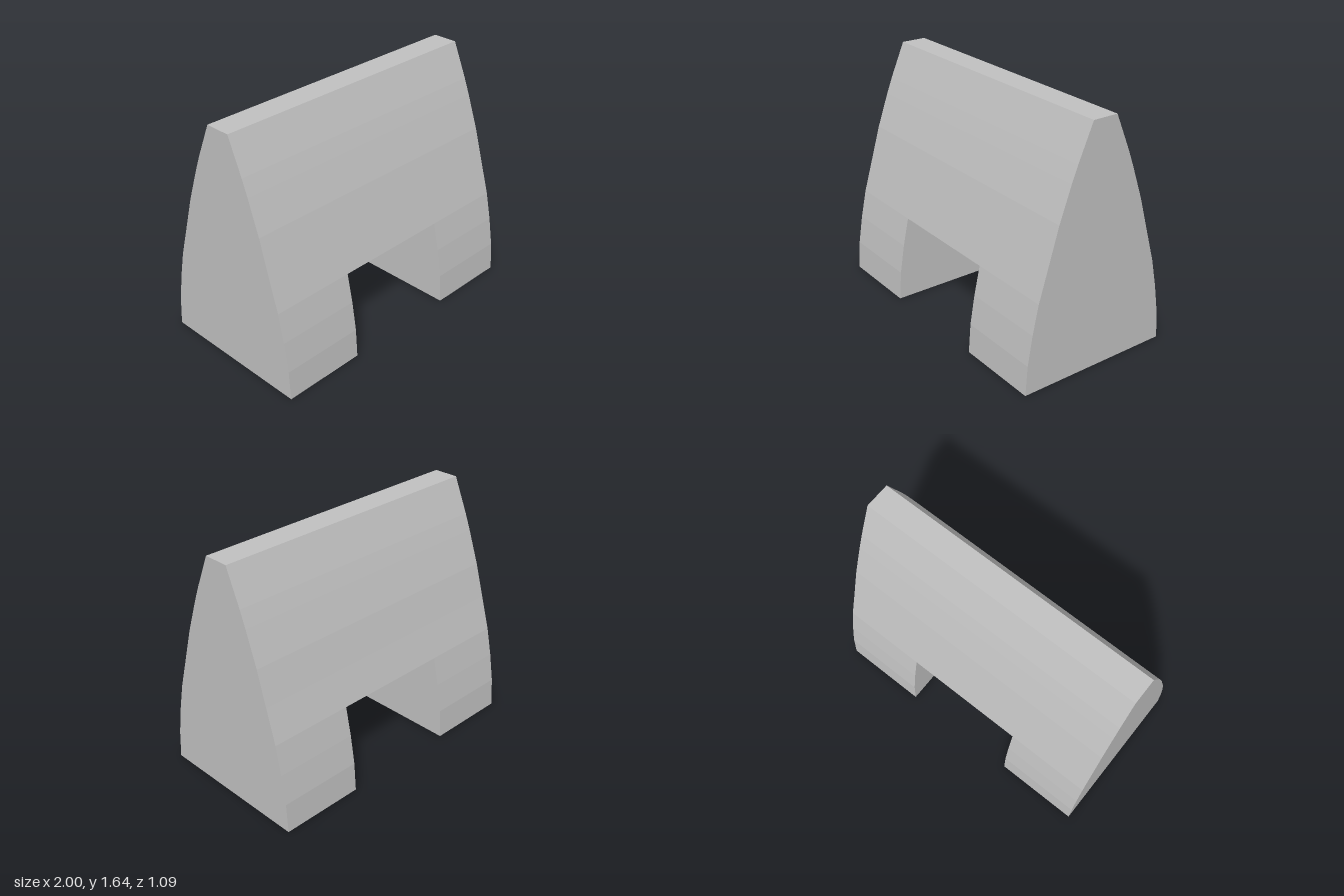
import * as THREE from 'three';

// Curved flank as [height, half depth], split at the top of the opening
const legProfile = [[0, 0.545], [0.2, 0.53], [0.4, 0.497], [0.595, 0.455]];
const bodyProfile = [[0.595, 0.455], [0.83, 0.385], [1.06, 0.317], [1.29, 0.235], [1.4, 0.192], [1.64, 0.088]];
const OPENING = 0.418;

// Level face between x1 and x2, facing up or down
function levelFace(x1, x2, y, z, up) {
  const q = [[x1, y, z], [x2, y, z], [x2, y, -z], [x1, y, -z]];
  return up ? q : q.reverse();
}

// Front, back and both end walls of a block with a curved profile
function walls(x1, x2, profile) {
  const quads = [];
  for (let i = 0; i < profile.length - 1; i++) {
    const [y0, z0] = profile[i], [y1, z1] = profile[i + 1];
    quads.push(
      [[x1, y0, z0], [x2, y0, z0], [x2, y1, z1], [x1, y1, z1]],
      [[x2, y0, -z0], [x1, y0, -z0], [x1, y1, -z1], [x2, y1, -z1]],
      [[x2, y0, z0], [x2, y0, -z0], [x2, y1, -z1], [x2, y1, z1]],
      [[x1, y0, -z0], [x1, y0, z0], [x1, y1, z1], [x1, y1, -z1]]
    );
  }
  return quads;
}

function quadMesh(name, quads, material) {
  const points = quads.flatMap(([a, b, c, d]) => [a, b, c, a, c, d]).flat();
  const geometry = new THREE.BufferGeometry();
  geometry.setAttribute('position', new THREE.Float32BufferAttribute(points, 3));
  geometry.computeVertexNormals(); // unshared corners keep each facet flat
  const mesh = new THREE.Mesh(geometry, material);
  mesh.name = name;
  return mesh;
}

export function createModel() {
  const group = new THREE.Group();
  group.name = 'taperedBlock';
  const grey = new THREE.MeshStandardMaterial({ color: 0xc0c0c0 });
  grey.name = 'lightGrey';

  // Upper body with its flat ridge and the ceiling of the opening
  const [topY, topZ] = bodyProfile[bodyProfile.length - 1];
  const [archY, archZ] = bodyProfile[0];
  group.add(quadMesh('upperBody', [
    ...walls(-1, 1, bodyProfile),
    levelFace(-1, 1, topY, topZ, true),
    levelFace(-OPENING, OPENING, archY, archZ, false)
  ], grey));

  // Two legs either side of the opening
  for (const [name, x1, x2] of [['leftLeg', OPENING, 1], ['rightLeg', -1, -OPENING]]) {
    group.add(quadMesh(name, [
      ...walls(x1, x2, legProfile),
      levelFace(x1, x2, 0, legProfile[0][1], false)
    ], grey));
  }
  return group;
}
